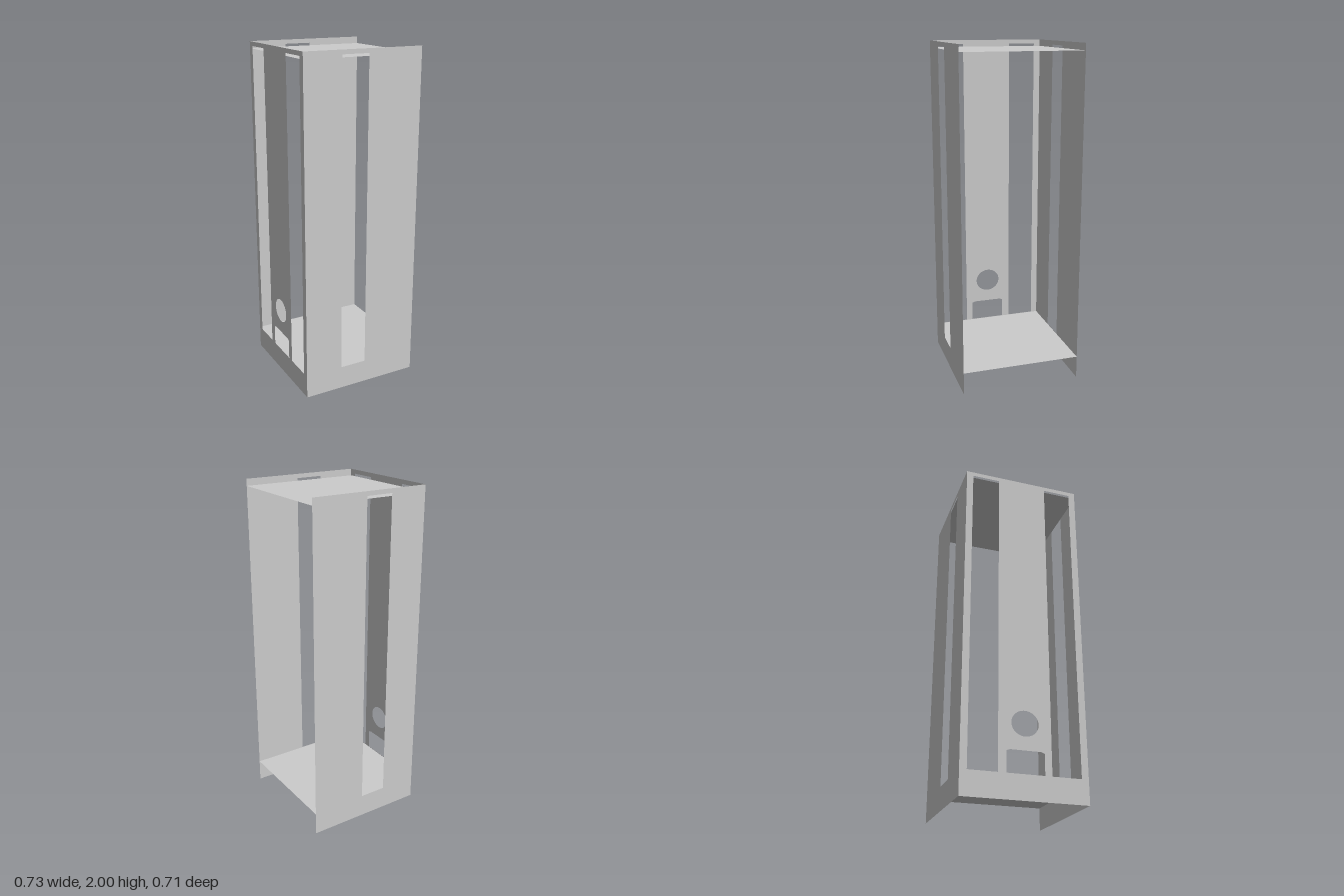
import * as THREE from 'three';

const X = 0.363, Z = 0.355, HEIGHT = 2;
const SLOT_BOTTOM = 0.138, SLOT_TOP = 1.975;

// closed outline from corner pairs
function outline(points, Type = THREE.Path) {
  return new Type(points.map(([x, y]) => new THREE.Vector2(x, y)));
}

function rect(x0, x1, y0, y1, Type) {
  return outline([[x0, y0], [x1, y0], [x1, y1], [x0, y1]], Type);
}

export function createModel() {
  const group = new THREE.Group();
  const material = new THREE.MeshStandardMaterial({ color: 0xcccccc, side: THREE.DoubleSide });

  function addSheet(name, shape) {
    const mesh = new THREE.Mesh(new THREE.ShapeGeometry(shape, 32), material);
    mesh.name = name;
    group.add(mesh);
    return mesh;
  }

  // front and back walls, each with one tall slot
  for (const [name, z] of [['frontWall', Z], ['backWall', -Z]]) {
    const wall = rect(-X, X, 0, HEIGHT, THREE.Shape);
    wall.holes.push(rect(-0.135, 0.027, SLOT_BOTTOM, SLOT_TOP));
    addSheet(name, wall).position.z = z;
  }

  // side panel: two tall slots, a round port and a socket cutout
  const panel = rect(-Z, Z, 0, HEIGHT, THREE.Shape);
  panel.holes.push(
    rect(0.148, 0.315, SLOT_BOTTOM, SLOT_TOP),
    rect(-0.315, -0.15, SLOT_BOTTOM, SLOT_TOP),
    new THREE.Path().absellipse(0, 0.412, 0.077, 0.072, 0, Math.PI * 2),
    outline([[-0.104, SLOT_BOTTOM], [0.108, SLOT_BOTTOM], [0.108, 0.257],
      [0.088, 0.264], [-0.084, 0.264], [-0.104, 0.257]])
  );
  const side = addSheet('sidePanel', panel);
  side.rotation.y = -Math.PI / 2;
  side.position.x = -X;

  // horizontal shelves; the side opposite the panel stays open
  for (const [name, y] of [['bottomShelf', 0.136], ['topShelf', 1.96]]) {
    const shelf = addSheet(name, rect(-X, X, -Z, Z, THREE.Shape));
    shelf.rotation.x = -Math.PI / 2;
    shelf.position.y = y;
  }

  return group;
}
